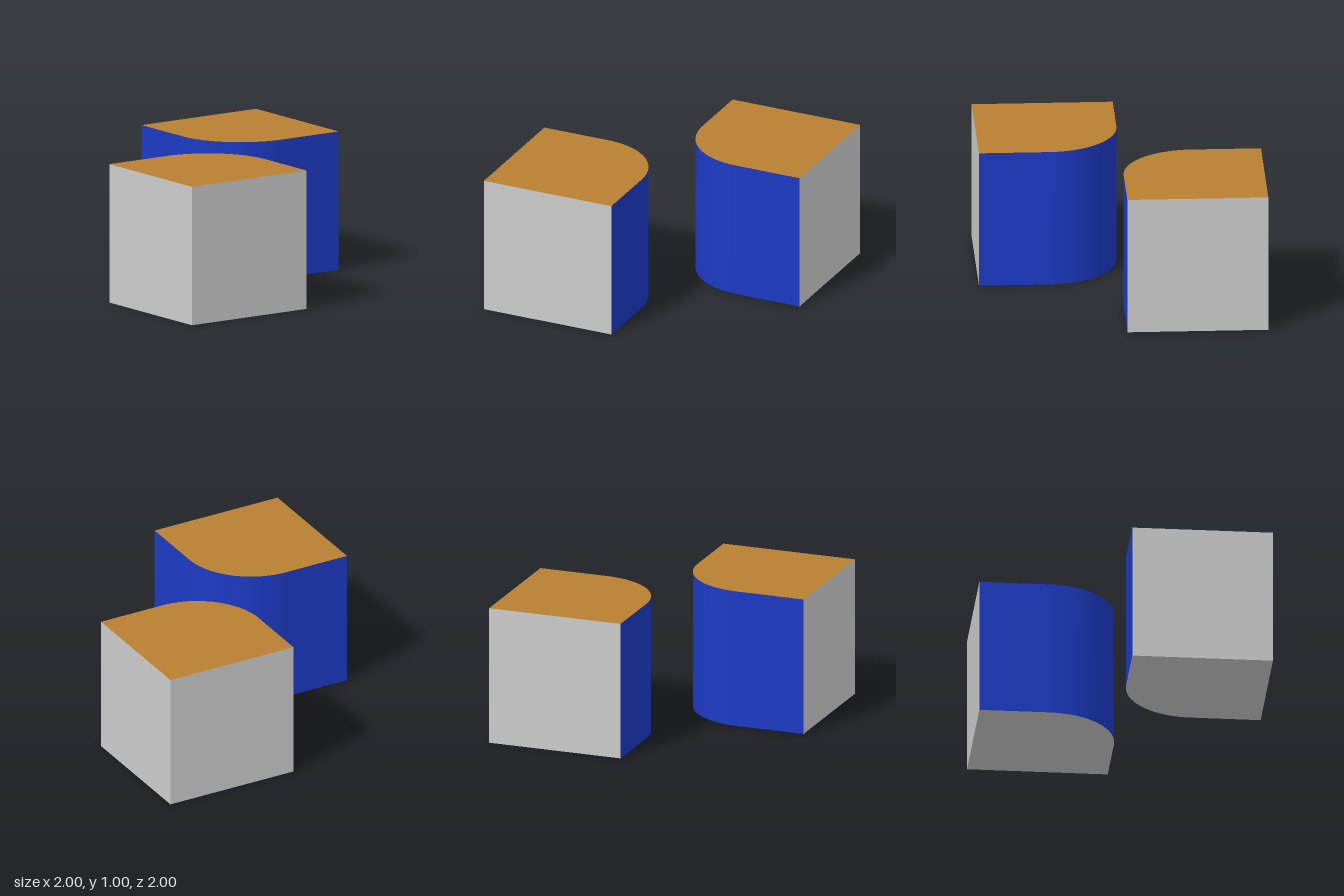
import * as THREE from 'three';

const RADIUS = 0.5, ARC_STEPS = 24;

const grey = new THREE.MeshStandardMaterial({ color: 0xcccccc });
const blue = new THREE.MeshStandardMaterial({ color: 0x1c3ac4 });
const brown = new THREE.MeshStandardMaterial({ color: 0xb87f30 });

function add(group, name, geometry, material) {
  const mesh = new THREE.Mesh(geometry, material);
  mesh.name = name;
  group.add(mesh);
}

// Inner edge in plan (x, z): straight, quarter round, straight
function innerEdge() {
  const points = [new THREE.Vector2(1, 0)];
  for (let i = 0; i <= ARC_STEPS; i++) {
    const a = -Math.PI / 2 - (i / ARC_STEPS) * Math.PI / 2;
    points.push(new THREE.Vector2(RADIUS + RADIUS * Math.cos(a), RADIUS + RADIUS * Math.sin(a)));
  }
  points.push(new THREE.Vector2(0, 1));
  return points;
}

// Unit block with one rounded vertical corner at the origin
function createBlock(name) {
  const block = new THREE.Group();
  block.name = name;
  const edge = innerEdge();
  const plan = new THREE.Shape([...edge, new THREE.Vector2(1, 1)]);

  // Top and bottom (the plan is symmetric in x and z)
  add(block, 'top', new THREE.ShapeGeometry(plan)
    .rotateX(-Math.PI / 2).rotateY(-Math.PI / 2).translate(0, 1, 0), brown);
  add(block, 'bottom', new THREE.ShapeGeometry(plan).rotateX(Math.PI / 2), grey);

  // Smooth inner wall: a plane bent along the inner edge
  const wall = new THREE.PlaneGeometry(1, 1, edge.length - 1, 1);
  const pos = wall.attributes.position;
  for (let i = 0; i < pos.count; i++) {
    const p = edge[i % edge.length];
    pos.setXYZ(i, p.x, pos.getY(i) + 0.5, p.y);
  }
  wall.computeVertexNormals();
  add(block, 'roundedWall', wall, blue);

  // Flat outer walls
  add(block, 'outerWallZ', new THREE.PlaneGeometry(1, 1).translate(0.5, 0.5, 1), grey);
  add(block, 'outerWallX', new THREE.PlaneGeometry(1, 1).rotateY(Math.PI / 2).translate(1, 0.5, 0.5), grey);
  return block;
}

export function createModel() {
  const model = new THREE.Group();
  model.name = 'roundedCornerBlocks';
  const front = createBlock('frontBlock');
  const back = createBlock('backBlock');
  back.rotation.y = Math.PI;
  model.add(front, back);
  return model;
}
